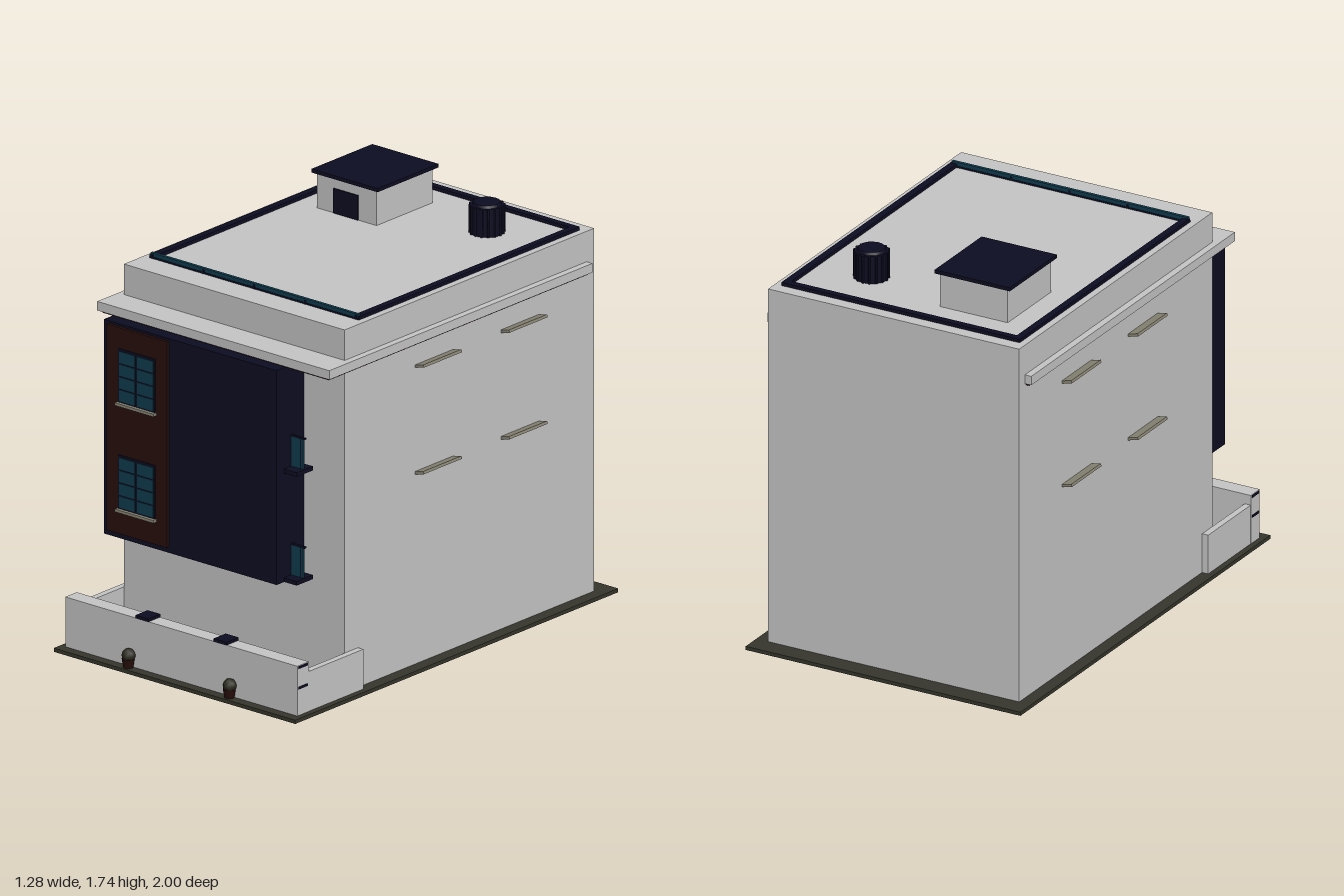
import * as THREE from 'three';

const mat = (name, color, extra = {}) => {
  const m = new THREE.MeshStandardMaterial({ color, ...extra });
  m.name = name;
  return m;
};

export function createModel() {
  const wall = mat('pale render', 0xc6c6c6);
  const navy = mat('navy', 0x0d0d22);
  const teal = mat('teal glass', 0x103c4e);
  const maroon = mat('dark red cladding', 0x280f0c);
  const paving = mat('dark paving', 0x36362d);
  const stone = mat('sill stone', 0x8a8776);
  const leaf = mat('dark foliage', 0x2c2c1f);
  const root = new THREE.Group();
  root.name = 'building';

  // box given by its minimum and maximum on each axis
  const box = (name, m, x0, x1, y0, y1, z0, z1, parent = root) => {
    const mesh = new THREE.Mesh(new THREE.BoxGeometry(x1 - x0, y1 - y0, z1 - z0), m);
    mesh.position.set((x0 + x1) / 2, (y0 + y1) / 2, (z0 + z1) / 2);
    mesh.name = name;
    parent.add(mesh);
    return mesh;
  };
  const group = (name) => {
    const g = new THREE.Group();
    g.name = name;
    root.add(g);
    return g;
  };
  const cyl = (name, m, r0, r1, y0, y1, x, z, sides, parent) => {
    const mesh = new THREE.Mesh(new THREE.CylinderGeometry(r1, r0, y1 - y0, sides), m);
    mesh.position.set(x, (y0 + y1) / 2, z);
    mesh.name = name;
    parent.add(mesh);
  };

  // plot and main block
  box('groundSlab', paving, -0.64, 0.64, 0, 0.016, -1, 1);
  box('mainBlock', wall, -0.585, 0.585, 0.008, 1.575, -0.915, 0.63);
  box('corniceUnderside', maroon, -0.6, 0.6, 1.395, 1.406, -0.86, 0.745);
  box('cornice', wall, -0.615, 0.615, 1.405, 1.444, -0.87, 0.76);

  // projecting bay with clad panel
  const bay = group('bay');
  box('bayBody', navy, -0.545, 0.37, 0.475, 1.396, 0.625, 0.8, bay);
  box('cladPanel', maroon, -0.52, -0.2, 0.5, 1.385, 0.8, 0.814, bay);
  for (const y of [0.61, 1.067]) {
    const win = new THREE.Group();
    win.name = 'window';
    bay.add(win);
    box('windowFrame', navy, -0.455, -0.26, y, y + 0.23, 0.812, 0.818, win);
    for (let c = 0; c < 2; c++) for (let r = 0; r < 4; r++) {
      const x0 = -0.448 + c * 0.096, y0 = y + 0.006 + r * 0.055;
      box('windowPane', teal, x0, x0 + 0.084, y0, y0 + 0.049, 0.816, 0.821, win);
    }
    box('windowSill', stone, -0.46, -0.255, y - 0.012, y, 0.812, 0.833, win);
  }

  // small glazed balconies on the side of the bay
  for (const y of [0.476, 0.943]) {
    const b = group('balcony');
    box('balconyFloor', navy, 0.37, 0.438, y, y + 0.018, 0.655, 0.755, b);
    box('balconyGlass', teal, 0.37, 0.432, y + 0.018, y + 0.148, 0.7, 0.71, b);
    box('balconyPost', navy, 0.417, 0.423, y + 0.018, y + 0.148, 0.699, 0.711, b);
    box('balconyRail', navy, 0.37, 0.441, y + 0.146, y + 0.153, 0.699, 0.711, b);
  }

  // tilted side ledges
  for (const s of [-1, 1]) for (const y of [0.842, 1.3]) for (const z of [0.075, -0.455]) {
    const ledge = box('sideLedge', stone, s * 0.604 - 0.027, s * 0.604 + 0.027,
      y - 0.006, y + 0.006, z - 0.118, z + 0.118);
    ledge.rotation.z = s * 0.24;
  }

  // roof edge rails
  const rails = group('roofRails');
  for (const s of [-1, 1])
    box('sideRail', navy, s * 0.54 - 0.015, s * 0.54 + 0.015, 1.57, 1.59, -0.86, 0.505, rails);
  box('backRail', navy, -0.555, 0.555, 1.57, 1.59, -0.86, -0.83, rails);
  box('frontRailBase', navy, -0.555, 0.555, 1.57, 1.582, 0.49, 0.508, rails);
  box('frontRailGlass', teal, -0.55, 0.55, 1.582, 1.598, 0.492, 0.506, rails);
  for (let i = 0; i < 5; i++) {
    const x = -0.54 + i * 0.27;
    box('railPost', navy, x - 0.005, x + 0.005, 1.575, 1.592, 0.49, 0.509, rails);
  }

  // stair house
  const hut = group('stairHouse');
  box('hutWalls', wall, -0.415, -0.1, 1.57, 1.726, -0.715, -0.368, hut);
  box('hutRoof', navy, -0.435, -0.085, 1.725, 1.741, -0.733, -0.357, hut);
  box('hutDoor', navy, -0.325, -0.195, 1.576, 1.682, -0.37, -0.362, hut);

  // ribbed water tank
  const tank = group('waterTank');
  cyl('tankBody', navy, 0.07, 0.07, 1.57, 1.695, 0.284, -0.603, 16, tank);
  cyl('tankLid', navy, 0.06, 0.055, 1.695, 1.706, 0.284, -0.603, 16, tank);
  for (let i = 0; i < 16; i++) {
    const a = (i / 16) * Math.PI * 2;
    cyl('tankRib', navy, 0.005, 0.005, 1.575, 1.695,
      0.284 + Math.cos(a) * 0.07, -0.603 + Math.sin(a) * 0.07, 6, tank);
  }

  // boundary wall with caps and potted shrubs
  const fence = group('boundaryWall');
  box('frontWall', wall, -0.615, 0.615, 0.012, 0.23, 0.887, 0.958, fence);
  for (const s of [-1, 1]) {
    box('sideWall', wall, s * 0.6 - 0.014, s * 0.6 + 0.014, 0.012, 0.187, 0.548, 0.89, fence);
    box('wallCap', navy, s * 0.207 - 0.034, s * 0.207 + 0.034, 0.229, 0.243, 0.885, 0.96, fence);
    for (const y of [0.134, 0.222])
      box('endStripe', navy, s * 0.615 - 0.003, s * 0.615 + 0.003, y - 0.005, y + 0.005, 0.895, 0.95, fence);
    const plant = group('pottedShrub');
    cyl('pot', maroon, 0.02, 0.027, 0.014, 0.055, s * 0.268, 0.973, 8, plant);
    const shrub = new THREE.Mesh(new THREE.IcosahedronGeometry(0.029, 1), leaf);
    shrub.position.set(s * 0.268, 0.068, 0.971);
    shrub.name = 'shrub';
    plant.add(shrub);
  }
  return root;
}
